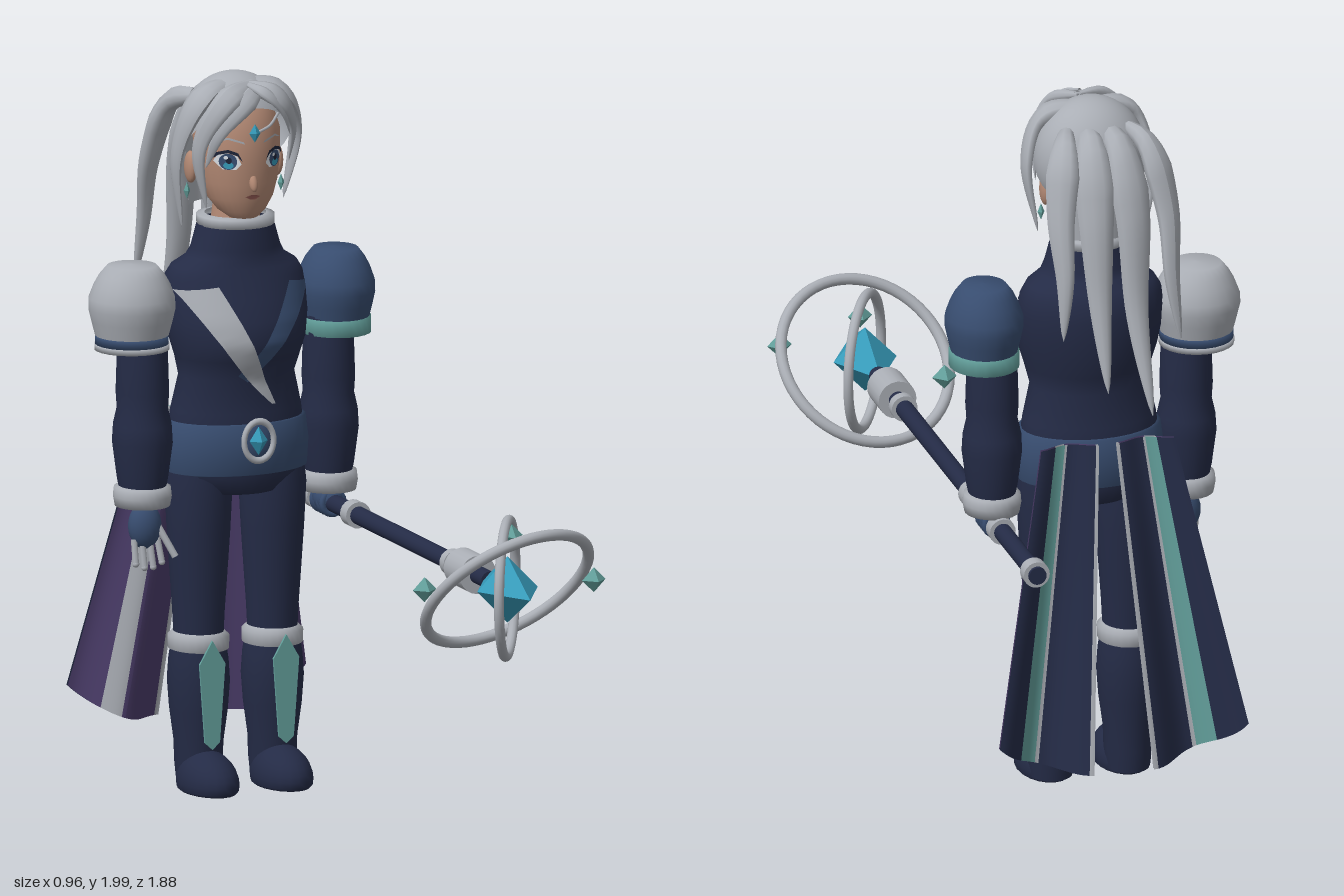
import * as THREE from 'three';
import { mergeVertices } from 'three/addons/utils/BufferGeometryUtils.js';

const V = (x, y, z) => new THREE.Vector3(x, y, z);
const lerp = THREE.MathUtils.lerp;
const material = (name, color) => {
  const m = new THREE.MeshStandardMaterial({ color, side: THREE.DoubleSide });
  m.name = name;
  return m;
};

export function createModel() {
  const navy = material('navy cloth', 0x242b46), blue = material('blue leather', 0x384d70);
  const silver = material('silver', 0xaaaeb5), teal = material('teal', 0x629e9a);
  const crystal = material('crystal blue', 0x369ab9), purple = material('purple lining', 0x4b3d6a);
  const skin = material('skin', 0xb38974), white = material('eye white', 0xdde2e8);
  const ink = material('dark ink', 0x1c2236), lip = material('lips', 0x84504a);

  const model = new THREE.Group();
  const body = new THREE.Group();
  body.name = 'body';
  body.position.set(-0.055, 0, -0.51);
  model.add(body);

  const add = (name, geo, mat, x = 0, y = 0, z = 0, parent = body) => {
    const mesh = new THREE.Mesh(geo, mat);
    mesh.name = name;
    mesh.position.set(x, y, z);
    parent.add(mesh);
    return mesh;
  };
  // Smooth surface through fn(u, v)
  const grid = (fn, nu, nv) => {
    const g = new THREE.PlaneGeometry(1, 1, nu, nv), uv = g.attributes.uv, p = g.attributes.position;
    for (let i = 0; i < p.count; i++) p.setXYZ(i, ...fn(uv.getX(i), uv.getY(i)));
    g.deleteAttribute('uv');
    g.deleteAttribute('normal');
    const m = mergeVertices(g, 1e-5);
    m.computeVertexNormals();
    return m;
  };
  // Rings are [y, half width, half depth, z centre], bottom to top
  const loft = (rings, seg = 28) => grid((u, v) => {
    const [y, rx, rz, cz = 0] = rings[Math.round(v * (rings.length - 1))];
    const a = (u * 2 - 1) * Math.PI;
    return [Math.sin(a) * rx, y, Math.cos(a) * rz + cz];
  }, seg, rings.length - 1);
  const frontZ = (rings, x, y) => {
    let i = 0;
    while (i < rings.length - 2 && rings[i + 1][0] < y) i++;
    const a = rings[i], b = rings[i + 1], t = (y - a[0]) / (b[0] - a[0]);
    const [rx, rz, cz] = [1, 2, 3].map(k => lerp(a[k] || 0, b[k] || 0, t));
    return cz + rz * Math.sqrt(Math.max(0, 1 - (x / rx) ** 2));
  };
  const lathe = pts => new THREE.LatheGeometry(pts.map(([r, y]) => new THREE.Vector2(r, y)), 24);
  const ball = (rx, ry, rz) => new THREE.SphereGeometry(1, 20, 14).scale(rx, ry, rz);
  const poly = pts => new THREE.Shape(pts.map(([x, y]) => new THREE.Vector2(x, y)));

  // Torso, hips and collar
  const torso = [[0.82, 0.05, 0.05], [0.83, 0.12, 0.11], [0.88, 0.185, 0.13], [1, 0.195, 0.138], [1.06, 0.187, 0.132],
    [1.155, 0.165, 0.125, 0.005], [1.21, 0.178, 0.145, 0.012], [1.26, 0.193, 0.162, 0.012], [1.32, 0.203, 0.16, 0.004],
    [1.38, 0.204, 0.152, -0.01], [1.43, 0.198, 0.138, -0.015], [1.46, 0.18, 0.125, -0.012], [1.485, 0.14, 0.11, -0.005],
    [1.51, 0.126, 0.106], [1.58, 0.106, 0.1]];
  add('tunic', loft(torso), navy);
  add('collarTrim', lathe([[0.09, 1.57], [0.108, 1.572], [0.108, 1.597], [0.085, 1.601]]), silver);
  add('neck', new THREE.CylinderGeometry(0.06, 0.075, 0.12, 20), skin, 0, 1.59, 0);
  add('belt', loft([[0.885, 0.19, 0.125], [0.89, 0.205, 0.141], [0.96, 0.209, 0.148], [1.03, 0.2, 0.145], [1.034, 0.18, 0.125]]), blue);
  const buckle = add('buckleRing', new THREE.TorusGeometry(0.05, 0.009, 10, 28), silver, 0, 0.99, 0.165);
  buckle.scale.set(0.88, 1.1, 1);
  add('buckleBack', ball(0.042, 0.053, 0.012), blue, 0, 0.99, 0.152);
  add('buckleGem', new THREE.OctahedronGeometry(1).scale(0.027, 0.04, 0.025), crystal, 0, 0.99, 0.163);

  // Crossed sashes, each between two curved edges
  const sash = (name, mat, off, left, right) => {
    const curves = [left, right].map(c => new THREE.QuadraticBezierCurve(...c.map(q => new THREE.Vector2(...q))));
    add(name, grid((u, v) => {
      const [a, b] = curves.map(c => c.getPoint(1 - v));
      const x = lerp(a.x, b.x, u), y = lerp(a.y, b.y, u);
      return [x, y, frontZ(torso, x, y) + off];
    }, 8, 18), mat);
  };
  sash('blueSash', blue, 0.006, [[0.115, 1.42], [0.03, 1.27], [-0.05, 1.17]], [[0.195, 1.405], [0.1, 1.28], [-0.02, 1.15]]);
  sash('silverSash', silver, 0.013, [[-0.198, 1.405], [-0.08, 1.2], [0.05, 1.085]], [[-0.1, 1.42], [-0.008, 1.23], [0.062, 1.085]]);

  // Arms, pauldrons and legs
  for (const s of [-1, 1]) {
    const side = s > 0 ? 'left' : 'right', ax = s * 0.277;
    const arm = [[0.062, 0.84], [0.07, 0.88], [0.083, 0.98], [0.08, 1.03], [0.07, 1.075], [0.073, 1.12], [0.07, 1.22], [0.065, 1.32]];
    add(side + 'Sleeve', lathe(arm), navy, ax).scale.z = 1.07;
    add(side + 'Cuff', lathe([[0.05, 0.8], [0.076, 0.802], [0.081, 0.83], [0.078, 0.855], [0.06, 0.86]]), silver, ax).scale.z = 1.03;

    const k = s > 0 ? 0.93 : 1.04, px = s * 0.303, pz = -0.012;
    const dome = [[0.098, 1.28], [0.108, 1.32], [0.116, 1.355], [0.115, 1.385], [0.102, 1.42], [0.087, 1.448], [0.066, 1.474], [0, 1.478]];
    const ring = (y0, y1, r) => lathe([[r - 0.02, y0], [r, y0], [r, y1], [r - 0.02, y1]]);
    const parts = s > 0
      ? [['Pauldron', lathe(dome), blue], ['PauldronBand', ring(1.24, 1.285, 0.104), teal]]
      : [['Pauldron', lathe(dome), silver], ['PauldronStripe', ring(1.256, 1.28, 0.098), blue], ['PauldronHem', ring(1.24, 1.256, 0.1), silver]];
    for (const [n, g, m] of parts) add(side + n, g, m, px, 0, pz).scale.set(k, 1, 1.03);

    const lx = s * 0.11;
    add(side + 'Trouser', lathe([[0.068, 0.4], [0.073, 0.5], [0.08, 0.6], [0.088, 0.72], [0.094, 0.84], [0.085, 0.92]]), navy, lx);
    add(side + 'KneeCuff', lathe([[0.07, 0.385], [0.083, 0.39], [0.084, 0.425], [0.07, 0.438]]), silver, lx).scale.z = 1.1;
    add(side + 'Boot', lathe([[0.06, 0.01], [0.066, 0.07], [0.068, 0.13], [0.08, 0.22], [0.086, 0.3], [0.082, 0.36], [0.076, 0.4]]), navy, lx).scale.z = 1.08;
    const foot = ball(0.079, 0.087, 0.125), fp = foot.attributes.position;
    for (let i = 0; i < fp.count; i++) fp.setY(i, Math.max(-0.025, fp.getY(i) * (fp.getZ(i) > 0 ? 1 - fp.getZ(i) : 1)));
    foot.computeVertexNormals();
    add(side + 'Foot', foot, navy, lx, 0.025, 0.065);
    const shin = poly([[0, 0.12], [0.022, 0.14], [0.038, 0.36], [0, 0.425], [-0.038, 0.36], [-0.022, 0.14]]);
    add(side + 'ShinPlate', new THREE.ExtrudeGeometry(shin, { depth: 0.008, bevelEnabled: false }), teal, lx, 0, 0.092);
  }

  // Open right hand and left fist around the staff
  const rod = (name, a, b, r, mat) => add(name, new THREE.TubeGeometry(new THREE.LineCurve3(a, b), 1, r, 8), mat);
  add('rightPalm', ball(0.047, 0.065, 0.04), blue, -0.272, 0.745, 0.005);
  for (let i = 0; i < 4; i++) {
    const x = -0.307 + i * 0.023, tip = V(x * 1.12 + 0.037, 0.625 + Math.abs(i - 1.5) * 0.012, 0.025);
    rod('rightFinger', V(x, 0.71, 0.012), tip, 0.0095, silver);
    add('rightFingertip', ball(0.0095, 0.0095, 0.0095), silver, tip.x, tip.y, tip.z);
  }
  rod('rightThumb', V(-0.24, 0.745, 0.02), V(-0.2, 0.66, 0.05), 0.01, silver);
  add('leftFist', ball(0.042, 0.045, 0.055), blue, 0.272, 0.78, 0.01);
  for (let i = 0; i < 4; i++)
    add('leftFinger', new THREE.TorusGeometry(0.031, 0.01, 8, 18), blue, 0.272, 0.77, -0.025 + i * 0.023);

  // Two cape tails in vertical strips, lined on the inside
  for (const s of [-1, 1]) {
    const drape = (u, t, off) => [
      s * lerp(lerp(0.025, 0.19, u), lerp(0.085, 0.355, u), t),
      lerp(1.035, lerp(0.13, 0.235, u ** 2.5), t),
      -0.172 - 0.132 * t - (0.014 + 0.03 * t) * Math.cos(u * Math.PI * 2) + off];
    const strips = [[0, 0.05, silver, silver], [0.05, 0.5, navy, purple], [0.5, 0.54, silver, purple], [0.54, 0.72, teal, silver], [0.72, 1, navy, purple]];
    for (const [u0, u1, outer, inner] of strips)
      for (const [n, m, off] of [['capeOutside', outer, 0], ['capeLining', inner, 0.009]])
        add(n, grid((u, v) => drape(lerp(u0, u1, u), 1 - v, off), 8, 12), m);
  }

  // Head and face
  const head = [[1.592, 0.01, 0.01, 0.065], [1.6, 0.04, 0.04, 0.055], [1.62, 0.067, 0.065, 0.042], [1.655, 0.092, 0.088, 0.03],
    [1.7, 0.108, 0.108, 0.018], [1.76, 0.118, 0.12, 0.01], [1.84, 0.12, 0.124, 0.006], [1.91, 0.1, 0.103, 0], [1.96, 0.05, 0.05, 0]];
  add('head', loft(head), skin);
  const decal = (name, pts, mat, off) => {
    const g = new THREE.ShapeGeometry(poly(pts)), p = g.attributes.position;
    for (let i = 0; i < p.count; i++) p.setZ(i, frontZ(head, p.getX(i), p.getY(i)) + off);
    g.computeVertexNormals();
    add(name, g, mat);
  };
  const oval = (x, y, rx, ry) => Array.from({ length: 16 }, (_, i) => [x + rx * Math.cos(i * Math.PI / 8), y + ry * Math.sin(i * Math.PI / 8)]);
  for (const s of [-1, 1]) {
    const at = pts => pts.map(([x, y]) => [s * x, y]);
    decal('eyeWhite', at([[0.036, 1.76], [0.05, 1.745], [0.08, 1.745], [0.1, 1.768], [0.092, 1.785], [0.07, 1.792], [0.046, 1.783]]), white, 0.004);
    decal('iris', oval(s * 0.069, 1.768, 0.021, 0.023), blue, 0.006);
    decal('irisGlow', oval(s * 0.069, 1.758, 0.012, 0.01), crystal, 0.0075);
    decal('pupil', oval(s * 0.069, 1.772, 0.007, 0.009), ink, 0.009);
    decal('eyeGlint', oval(s * 0.069 - 0.007, 1.78, 0.005, 0.005), white, 0.01);
    decal('upperLash', at([[0.034, 1.768], [0.048, 1.785], [0.07, 1.793], [0.09, 1.787], [0.104, 1.772], [0.1, 1.791], [0.07, 1.802], [0.046, 1.793]]), ink, 0.008);
    decal('eyebrow', at([[0.028, 1.817], [0.07, 1.83], [0.1, 1.819], [0.07, 1.836], [0.03, 1.823]]), silver, 0.006);
    add('ear', ball(0.016, 0.045, 0.028), skin, s * 0.128, 1.735, -0.012);
    add('earring', new THREE.OctahedronGeometry(1).scale(0.01, 0.024, 0.01), teal, s * 0.14, 1.67, -0.01);
  }
  decal('mouth', [[-0.022, 1.667], [-0.006, 1.672], [0.006, 1.672], [0.022, 1.667], [0.008, 1.659], [-0.008, 1.659]], lip, 0.005);
  add('nose', ball(0.012, 0.026, 0.013).rotateX(-0.4), skin, 0, 1.706, 0.126);

  // Hair: cap, nape, then tapered locks
  const cap = new THREE.SphereGeometry(1, 32, 18, 0, Math.PI * 2, 0, 1.75).rotateX(-0.72).scale(0.158, 0.172, 0.14);
  add('hairCap', cap, silver, 0, 1.822, -0.012);
  add('hairNape', new THREE.CylinderGeometry(0.14, 0.125, 0.24, 24, 1, true, Math.PI * 0.6, Math.PI * 0.8), silver, 0, 1.735, -0.008);
  const lock = (name, pts, w, flat) => {
    const n = 24, curve = new THREE.CatmullRomCurve3(pts.map(p => V(...p))), g = new THREE.TubeGeometry(curve, n, w, 10);
    const p = g.attributes.position, v = V(0, 0, 0);
    for (let i = 0; i < p.count; i++) {
      const t = Math.floor(i / 11) / n, c = curve.getPointAt(t);
      const out = V(c.x, (c.y - 1.8) * 0.5, c.z).normalize();
      v.fromBufferAttribute(p, i).sub(c).multiplyScalar(Math.min(1, 0.4 + 2.4 * t) * Math.pow(1 - t, 0.65));
      v.addScaledVector(out, -v.dot(out) * (1 - flat)).add(c);
      p.setXYZ(i, v.x, v.y, v.z);
    }
    g.computeVertexNormals();
    add(name, g, silver);
  };
  for (const [w, ...pts] of [
    [0.044, [0.03, 1.97, 0.06], [-0.08, 1.935, 0.12], [-0.145, 1.81, 0.09], [-0.118, 1.63, 0.075]],
    [0.052, [-0.01, 1.975, 0], [-0.125, 1.93, 0.04], [-0.178, 1.78, 0.01], [-0.16, 1.57, 0]],
    [0.038, [0.04, 1.965, 0.08], [-0.04, 1.92, 0.135], [-0.1, 1.85, 0.125], [-0.125, 1.75, 0.085]],
    [0.042, [0, 1.97, 0.06], [0.075, 1.94, 0.12], [0.13, 1.86, 0.095], [0.14, 1.74, 0.045]],
    [0.055, [0.01, 1.975, 0], [0.13, 1.93, 0.03], [0.18, 1.82, -0.005], [0.155, 1.62, -0.03]],
    [0.022, [0.0, 1.975, 0.09], [0.04, 1.95, 0.135], [0.085, 1.9, 0.135], [0.115, 1.83, 0.115]]]) lock('bangLock', pts, w, 0.45);
  for (const [x0, x1, x2, y, z, w] of [[-0.09, -0.16, -0.18, 1.36, -0.285, 0.058], [-0.03, -0.06, -0.08, 1.17, -0.355, 0.068],
    [0.03, 0.045, 0.04, 1.24, -0.33, 0.066], [0.09, 0.145, 0.155, 1.39, -0.285, 0.058]])
    lock('ponytailLock', [[x0, 1.92, -0.08], [(x0 + x1) / 2, 1.89, -0.16], [x1, 1.72, -0.225], [x1, lerp(1.72, y, 0.5), -0.268], [x2, y, z]], w, 0.58);

  // Circlet
  add('browGem', new THREE.OctahedronGeometry(1).scale(0.017, 0.026, 0.012), crystal, 0, 1.847, 0.137);
  const chain = new THREE.CatmullRomCurve3([V(0.012, 1.85, 0.137), V(0.05, 1.863, 0.125), V(0.085, 1.89, 0.1)]);
  add('circletChain', new THREE.TubeGeometry(chain, 10, 0.004, 6), silver);

  // Staff lying along z
  const staff = new THREE.Group();
  staff.name = 'staff';
  staff.position.set(0.217, 0.77, 0);
  model.add(staff);
  const barrel = (name, z0, z1, r0, r1, mat) =>
    add(name, new THREE.CylinderGeometry(r1, r0, z1 - z0, 20).rotateX(Math.PI / 2), mat, 0, 0, (z0 + z1) / 2, staff);
  barrel('shaft', -0.945, 0.63, 0.025, 0.025, navy);
  for (const [z0, z1] of [[-0.935, -0.895], [-0.6, -0.56], [-0.33, -0.287], [0.365, 0.395]]) barrel('shaftRing', z0, z1, 0.037, 0.037, silver);
  barrel('headCollar', 0.435, 0.55, 0.054, 0.054, silver);
  const gem = new THREE.OctahedronGeometry(1).scale(0.09, 0.093, 0.16);
  add('staffCrystal', gem, crystal, 0, 0, 0.755, staff);
  add('outerRing', new THREE.TorusGeometry(0.247, 0.016, 12, 56), silver, 0.003, 0, 0.745, staff).rotation.set(Math.PI / 4, 0.17, 0);
  add('innerRing', new THREE.TorusGeometry(0.188, 0.014, 12, 48), silver, 0.005, 0, 0.742, staff).rotation.y = Math.PI / 3;
  for (const [x, y, z] of [[-0.183, -0.015, 0.605], [0.024, 0.142, 0.723], [0.216, 0.028, 0.852]])
    add('floatingShard', new THREE.OctahedronGeometry(0.035), teal, x, y, z, staff);

  return model;
}
